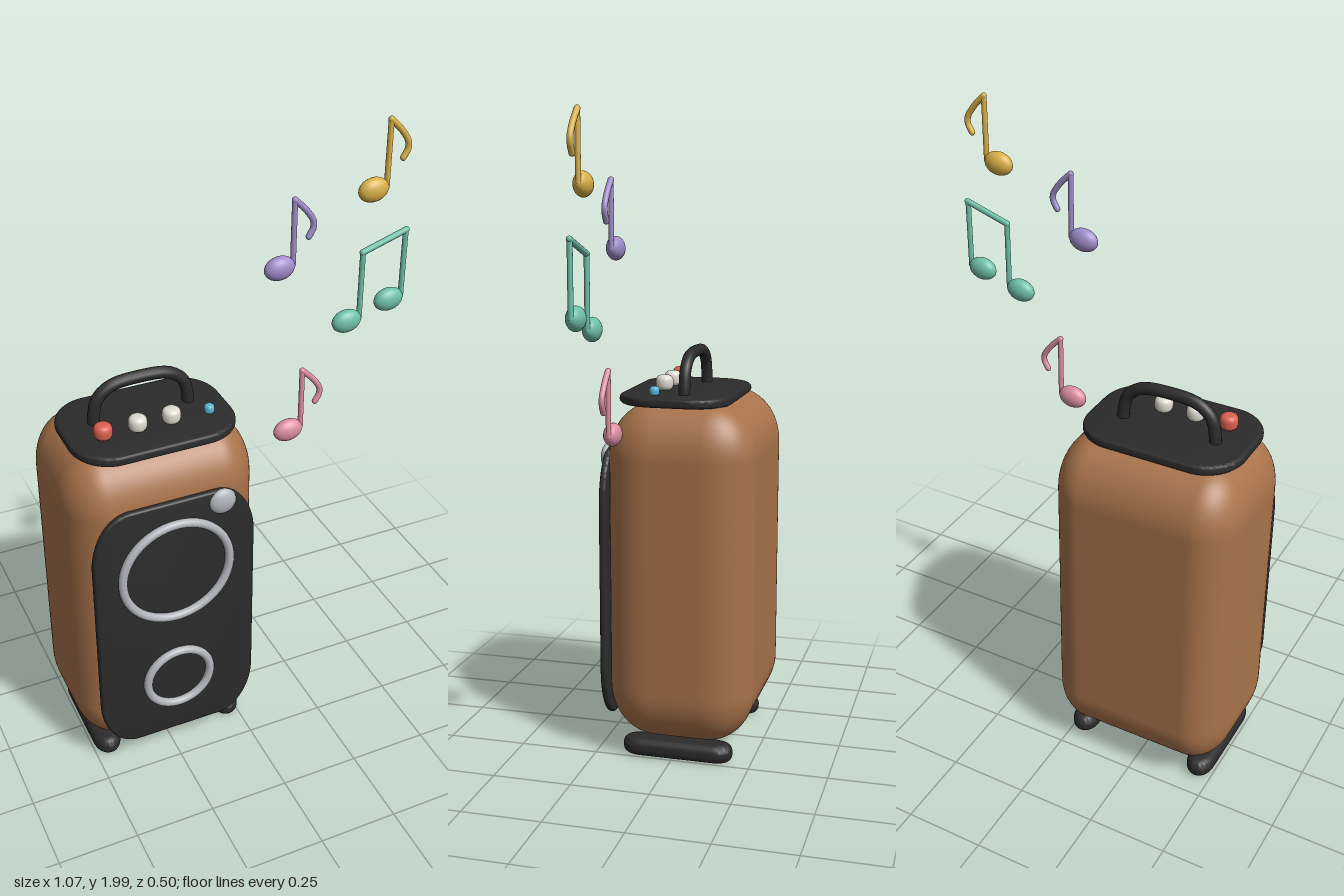
import * as THREE from 'three';
import { toCreasedNormals } from 'three/addons/utils/BufferGeometryUtils.js';
import { RoundedBoxGeometry } from 'three/addons/geometries/RoundedBoxGeometry.js';

const mat = (color) => new THREE.MeshStandardMaterial({ color });
const DARK = mat(0x2b2b2b), WOOD = mat(0xa9734b), METAL = mat(0xb2b5ba);
const CX = -0.245; // centre line of the cabinet
const NOTE_Z = 0.132;

function add(parent, name, geometry, material, x = 0, y = 0, z = 0) {
  const mesh = new THREE.Mesh(geometry, material);
  mesh.name = name;
  mesh.position.set(x, y, z);
  parent.add(mesh);
  return mesh;
}

// Slab with elliptical corners and a rounded rim, centred, thickness along z
function slab(w, h, depth, rx, ry, bevel) {
  const a = w / 2 - bevel, b = h / 2 - bevel;
  const ex = rx - bevel, ey = ry - bevel;
  const s = new THREE.Shape();
  s.moveTo(a, -b + ey);
  s.lineTo(a, b - ey);
  s.absellipse(a - ex, b - ey, ex, ey, 0, Math.PI / 2);
  s.lineTo(-a + ex, b);
  s.absellipse(-a + ex, b - ey, ex, ey, Math.PI / 2, Math.PI);
  s.lineTo(-a, -b + ey);
  s.absellipse(-a + ex, -b + ey, ex, ey, Math.PI, Math.PI * 1.5);
  s.lineTo(a - ex, -b);
  s.absellipse(a - ex, -b + ey, ex, ey, Math.PI * 1.5, Math.PI * 2);
  const t = Math.min(bevel, depth * 0.46);
  const g = new THREE.ExtrudeGeometry(s, {
    depth: depth - 2 * t, bevelEnabled: true, bevelThickness: t,
    bevelSize: bevel, bevelSegments: 5, curveSegments: 14,
  });
  g.translate(0, 0, t - depth / 2);
  return toCreasedNormals(g, 0.7);
}

function tube(points, radius) {
  const curve = new THREE.CatmullRomCurve3(points.map(([x, y]) => new THREE.Vector3(x, y, 0)));
  return new THREE.TubeGeometry(curve, 40, radius, 12, false);
}

// Softly rounded button, standing on y = 0
function button(r, h) {
  const pts = [];
  for (let i = 0; i <= 16; i++) {
    const a = -Math.PI / 2 + (i / 16) * Math.PI;
    const c = Math.pow(Math.max(0, Math.cos(a)), 0.7);
    const s = Math.sign(Math.sin(a)) * Math.pow(Math.abs(Math.sin(a)), 0.7);
    pts.push(new THREE.Vector2(c * r, h / 2 + (s * h) / 2));
  }
  return new THREE.LatheGeometry(pts, 24);
}

// Oval head with a stem rising from its right side
function noteHead(parent, material, x, y, height) {
  const head = add(parent, 'noteHead', new THREE.SphereGeometry(1, 24, 16), material, x, y, NOTE_Z);
  head.scale.set(0.046, 0.035, 0.026);
  head.rotation.z = 0.1;
  add(parent, 'noteStem', new THREE.CylinderGeometry(0.008, 0.008, height, 12), material,
    x + 0.041, y + height / 2, NOTE_Z);
}

function singleNote(name, color, x, y) {
  const g = new THREE.Group(), m = mat(color);
  g.name = name;
  noteHead(g, m, x, y, 0.195);
  const flag = [[0, 0], [0.035, -0.035], [0.058, -0.07], [0.059, -0.09], [0.046, -0.115]];
  add(g, 'noteFlag', tube(flag, 0.009), m, x + 0.041, y + 0.193, NOTE_Z);
  for (const [fx, fy] of [flag[0], flag[4]])
    add(g, 'flagTip', new THREE.SphereGeometry(0.009, 12, 8), m, x + 0.041 + fx, y + 0.193 + fy, NOTE_Z);
  return g;
}

export function createModel() {
  const model = new THREE.Group();
  model.name = 'musicSpeaker';

  // Cabinet: rounded box stretched so its corners are longer vertically
  const k = [0.8, 1.13, 1];
  const body = add(model, 'cabinet',
    new RoundedBoxGeometry(0.592 / k[0], 1.08 / k[1], 0.465 / k[2], 8, 0.15), WOOD, CX, 0.605, -0.02);
  body.scale.set(...k);

  // Front and top panels
  add(model, 'frontPanel', slab(0.51, 0.89, 0.022, 0.12, 0.18, 0.011), DARK, CX, 0.555, 0.22);
  const top = add(model, 'topPanel', slab(0.506, 0.356, 0.03, 0.12, 0.13, 0.014), DARK, CX + 0.002, 1.15, 0.012);
  top.rotation.x = -Math.PI / 2;

  // Speaker rings and corner knob
  for (const [name, y, r] of [['wooferRing', 0.755, 0.17], ['tweeterRing', 0.335, 0.104]])
    add(model, name, new THREE.TorusGeometry(r, 0.0135, 16, 64), METAL, CX, y, 0.237);
  const knob = add(model, 'cornerKnob', new THREE.SphereGeometry(0.042, 24, 16), METAL, -0.095, 0.96, 0.23);
  knob.scale.z = 0.48;

  // Carrying handle
  add(model, 'handle', tube([
    [-0.148, 1.14], [-0.146, 1.19], [-0.132, 1.24], [-0.09, 1.273], [0, 1.283],
    [0.09, 1.273], [0.132, 1.24], [0.146, 1.19], [0.148, 1.14]], 0.0185), DARK, CX + 0.002, 0, -0.017);

  // Control buttons
  const buttons = [
    ['redButton', -0.393, 0.028, 0.05, 0xd9604f],
    ['whiteButton', -0.288, 0.028, 0.05, 0xdedad0],
    ['whiteButton', -0.184, 0.028, 0.05, 0xdedad0],
    ['blueButton', -0.065, 0.016, 0.03, 0x5ab4d6],
  ];
  for (const [name, x, r, h, color] of buttons)
    add(model, name, button(r, h), mat(color), x, 1.162, 0.07);

  // Skid feet
  for (const side of [-1, 1]) {
    const foot = add(model, side < 0 ? 'rightFoot' : 'leftFoot',
      slab(0.088, 0.356, 0.06, 0.044, 0.06, 0.026), DARK, CX + side * 0.209, 0.035, -0.013);
    foot.rotation.x = -Math.PI / 2;
  }

  // Floating notes
  model.add(singleNote('purpleNote', 0xa08cc8, 0.119, 1.617));
  model.add(singleNote('yellowNote', 0xd9b048, 0.401, 1.797));
  model.add(singleNote('pinkNote', 0xdd8f9f, 0.162, 1.079));

  // Beamed pair
  const pair = new THREE.Group(), teal = mat(0x6fbfa8);
  pair.name = 'beamedNotes';
  noteHead(pair, teal, 0.34, 1.405, 0.21);
  noteHead(pair, teal, 0.475, 1.447, 0.207);
  const beam = add(pair, 'noteBeam', new THREE.CapsuleGeometry(0.009, 0.145, 6, 12), teal, 0.449, 1.635, NOTE_Z);
  beam.rotation.z = Math.atan2(0.045, 0.14) - Math.PI / 2;
  model.add(pair);

  return model;
}
